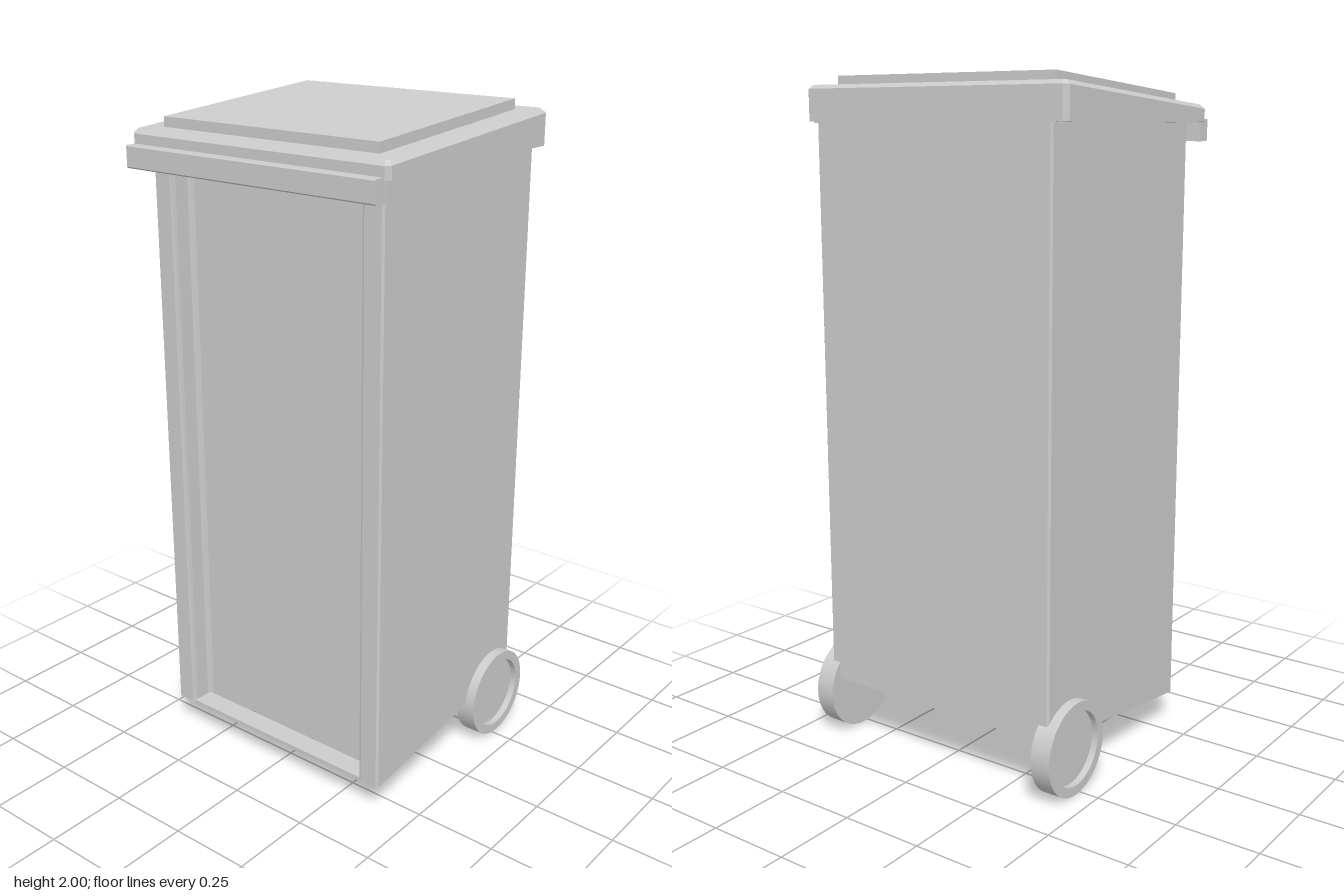
import * as THREE from 'three';
import { toCreasedNormals } from 'three/addons/utils/BufferGeometryUtils.js';

const material = new THREE.MeshStandardMaterial({ color: 0xcccccc });
const OFFSET = -0.003; // body and wheels sit slightly off the lid's centre line

function add(group, name, geometry, x = 0, y = 0, z = 0) {
  const mesh = new THREE.Mesh(geometry, material);
  mesh.name = name;
  mesh.position.set(x, y, z);
  group.add(mesh);
  return mesh;
}

// Upright prism from a plan outline of [x, z] points
function prism(outline, y0, y1) {
  const shape = new THREE.Shape(outline.map(([x, z]) => new THREE.Vector2(x, -z)));
  const geometry = new THREE.ExtrudeGeometry(shape, { depth: y1 - y0, bevelEnabled: false });
  return geometry.rotateX(-Math.PI / 2).translate(0, y0, 0);
}

// Rectangle in plan with cut corners
function cutRectangle(hx, zBack, zFront, c) {
  return [
    [-hx + c, zFront], [hx - c, zFront], [hx, zFront - c], [hx, zBack + c],
    [hx - c, zBack], [-hx + c, zBack], [-hx, zBack + c], [-hx, zFront - c],
  ];
}

// Skin a stack of equal-length loops, bottom to top, with both ends capped
function loft(loops) {
  const positions = [];
  const tri = (a, b, c) => positions.push(...a, ...b, ...c);
  const n = loops[0].length;
  for (let k = 0; k < loops.length - 1; k++) {
    for (let i = 0; i < n; i++) {
      const j = (i + 1) % n;
      tri(loops[k][i], loops[k][j], loops[k + 1][j]);
      tri(loops[k][i], loops[k + 1][j], loops[k + 1][i]);
    }
  }
  const bottom = loops[0], top = loops[loops.length - 1];
  for (let i = 1; i < n - 1; i++) {
    tri(top[0], top[i], top[i + 1]);
    tri(bottom[0], bottom[i + 1], bottom[i]);
  }
  const geometry = new THREE.BufferGeometry();
  geometry.setAttribute('position', new THREE.Float32BufferAttribute(positions, 3));
  geometry.computeVertexNormals();
  return geometry;
}

const lidSlope = (z) => 1.948 - 0.076 * z;
const floorSlope = (z) => 0.092 + 0.13 * (0.33 - z);

function bodyGeometry() {
  // Half plan from the recessed panel, round the front post, to the back
  const half = [
    [0.319, 0.26], [0.328, 0.263], [0.333, 0.273], [0.335, 0.318], [0.338, 0.327], [0.345, 0.33],
    [0.4, 0.33], [0.406, 0.324], [0.406, -0.364], [0.4, -0.37],
  ];
  const mirrored = half.map(([x, z]) => [-x, z]).reverse();
  const geometry = prism([...half, ...mirrored], 0, 1.87);
  // Slope the floor up towards the back
  const p = geometry.attributes.position;
  for (let i = 0; i < p.count; i++) {
    if (p.getY(i) < 0.5) p.setY(i, floorSlope(p.getZ(i)));
  }
  geometry.computeVertexNormals();
  return geometry;
}

function wheelGeometry() {
  const R = 0.1395, r = 0.111, w = 0.062;
  const profile = [[0, 0], [R, 0], [R, w], [r, w], [r, w - 0.02], [0, w - 0.02]];
  const geometry = new THREE.LatheGeometry(profile.map(([x, y]) => new THREE.Vector2(x, y)), 48);
  return toCreasedNormals(geometry, 0.6);
}

export function createModel() {
  const model = new THREE.Group();
  model.name = 'wheeledBin';

  // Body with a recessed front panel and a flat sill closing the recess below
  const body = new THREE.Group();
  body.name = 'body';
  body.position.x = OFFSET;
  model.add(body);
  add(body, 'shell', bodyGeometry());
  add(body, 'frontSill', new THREE.BoxGeometry(0.674, 0.012, 0.066), 0, 0.094, 0.295);

  // Rim around the top, ending in a gripping lip at the front
  add(model, 'rim', prism(cutRectangle(0.434, -0.36, 0.4, 0.01), 1.869, 1.878));
  const lipProfile = [[0.367, 1.816], [0.403, 1.816], [0.407, 1.82], [0.407, 1.877], [0.404, 1.88], [0.367, 1.88]];
  const lipShape = new THREE.Shape(lipProfile.map(([z, y]) => new THREE.Vector2(-z, y)));
  const lip = new THREE.ExtrudeGeometry(lipShape, { depth: 0.868, bevelEnabled: false });
  add(model, 'frontLip', lip.rotateY(Math.PI / 2), -0.434);

  // Sloping lid with a bevelled edge and a raised panel
  const lidOuter = cutRectangle(0.449, -0.365, 0.373, 0.013);
  const lidInner = cutRectangle(0.436, -0.352, 0.36, 0.008);
  add(model, 'lid', loft([
    lidOuter.map(([x, z]) => [x, 1.872, z]),
    lidOuter.map(([x, z]) => [x, lidSlope(z) - 0.012, z]),
    lidInner.map(([x, z]) => [x, lidSlope(z), z]),
  ]));
  const panel = [[-0.377, 0.313], [0.376, 0.313], [0.376, -0.306], [-0.377, -0.306]];
  add(model, 'lidPanel', loft([-0.005, 0.029].map((h) => panel.map(([x, z]) => [x, lidSlope(z) + h, z]))));

  // Wheels with a dished outer face
  for (const side of [1, -1]) {
    const wheel = add(model, side > 0 ? 'leftWheel' : 'rightWheel', wheelGeometry(), OFFSET + side * 0.374, 0.1395, -0.269);
    wheel.rotation.z = -side * Math.PI / 2;
  }

  return model;
}
